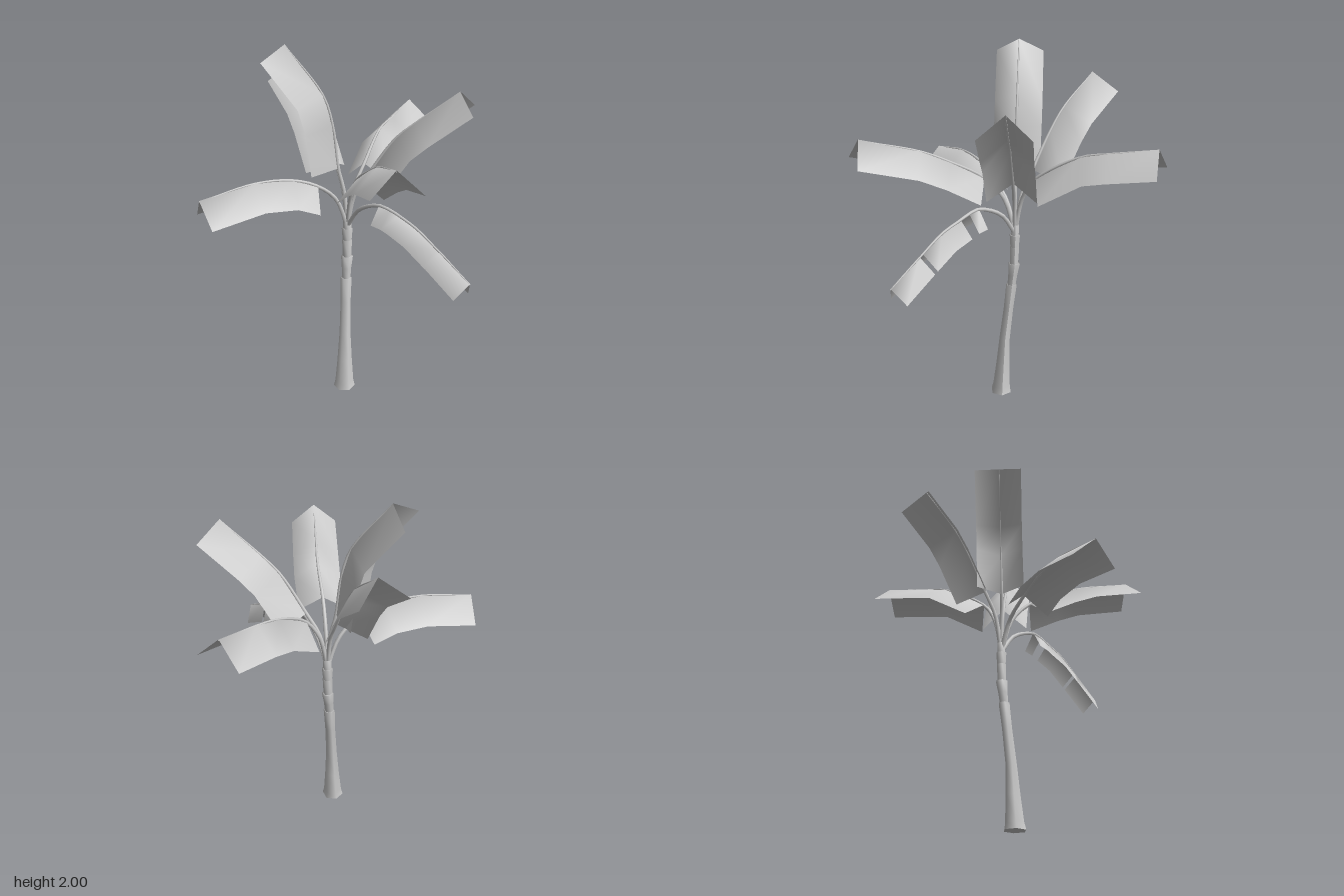
import * as THREE from 'three';

const grey = () => new THREE.MeshStandardMaterial({ color: 0xcccccc, side: THREE.DoubleSide });
const V = (p) => new THREE.Vector3(...p);

// Smooth surface through rows of points; skip(row, column) leaves a quad out
function grid(rows, skip = () => false) {
  const n = rows[0].length, index = [];
  for (let i = 0; i < rows.length - 1; i++) {
    for (let j = 0; j < n - 1; j++) {
      if (skip(i, j)) continue;
      const a = i * n + j, b = a + 1, c = a + n, d = c + 1;
      index.push(a, b, c, b, d, c);
    }
  }
  const g = new THREE.BufferGeometry().setFromPoints(rows.flat());
  g.setIndex(index);
  g.computeVertexNormals();
  return g;
}

// Leaning trunk centre line
const trunkLine = [[0.065, 0, 0.018], [0.068, 0.35, -0.002], [0.073, 0.69, -0.04], [0.078, 0.82, -0.054], [0.078, 1.1, -0.058]];
function trunkAt(y) {
  let k = 0;
  while (k < trunkLine.length - 2 && y > trunkLine[k + 1][1]) k++;
  const a = V(trunkLine[k]), b = V(trunkLine[k + 1]);
  return a.lerp(b, (y - a.y) / (b.y - a.y));
}

// Six-sided trunk sleeve from [height, radius] pairs
function sleeve(profile) {
  const rows = profile.map(([y, r]) => {
    const c = trunkAt(y), ring = [];
    for (let j = 0; j <= 6; j++) {
      const t = -j * Math.PI / 3;
      ring.push(new THREE.Vector3(c.x + r * Math.cos(t), y, c.z + r * Math.sin(t)));
    }
    return ring;
  });
  return grid(rows);
}

// Stem running into a midrib, thinning towards the tip
function stemGeometry(ridge) {
  const crown = trunkAt(1.0), base = ridge[0];
  const bend = new THREE.Vector3(
    THREE.MathUtils.lerp(crown.x, base.x, 0.38),
    THREE.MathUtils.lerp(crown.y, base.y, 0.62),
    THREE.MathUtils.lerp(crown.z, base.z, 0.38));
  const under = ridge.map((p) => p.clone().setY(p.y - 0.006));
  const path = new THREE.CatmullRomCurve3([crown, bend, ...under], false, 'centripetal');
  const segments = 20, sides = 6;
  const g = new THREE.TubeGeometry(path, segments, 1, sides);
  const pos = g.attributes.position, p = new THREE.Vector3();
  for (let i = 0; i <= segments; i++) {
    const c = path.getPointAt(i / segments), r = 0.013 - 0.010 * i / segments;
    for (let j = 0; j <= sides; j++) {
      const k = i * (sides + 1) + j;
      p.fromBufferAttribute(pos, k).sub(c).multiplyScalar(r).add(c);
      pos.setXYZ(k, p.x, p.y, p.z);
    }
  }
  return g;
}

// Blade folded along its ridge, each half falling away square to the ridge
function bladeGeometry(ridge, width, drop, torn) {
  const last = ridge.length - 1;
  const side = ridge[last].clone().sub(ridge[0]).cross(new THREE.Vector3(0, 1, 0)).normalize();
  const rows = ridge.map((m, i) => {
    const along = new THREE.Vector3();
    if (i > 0) along.add(m.clone().sub(ridge[i - 1]).normalize());
    if (i < last) along.add(ridge[i + 1].clone().sub(m).normalize());
    const normal = side.clone().cross(along).normalize();
    const edge = (s) => m.clone().addScaledVector(side, s * width).addScaledVector(normal, -drop);
    return [edge(-1), m.clone(), edge(1)];
  });
  return grid(rows, (i, j) => j === 0 && torn.includes(i));
}

const leaves = [
  { name: 'backRightLeaf', ridge: [[0.17, 1.34, -0.15], [0.265, 1.48, -0.37], [0.34, 1.515, -0.495], [0.46, 1.56, -0.72]] },
  { name: 'leftSideLeaf', ridge: [[0.19, 1.32, -0.035], [0.33, 1.53, -0.005], [0.43, 1.62, 0.015], [0.65, 1.79, 0.05]] },
  { name: 'frontLeaf', ridge: [[0.127, 1.34, 0.11], [0.185, 1.45, 0.29], [0.22, 1.52, 0.44], [0.285, 1.6, 0.74]] },
  { name: 'frontRightLeaf', ridge: [[-0.08, 1.28, 0.05], [-0.21, 1.335, 0.11], [-0.4, 1.35, 0.2], [-0.67, 1.3, 0.335]] },
  { name: 'backLeaf', ridge: [[0.015, 1.34, -0.155], [-0.055, 1.55, -0.265], [-0.105, 1.66, -0.34], [-0.23, 1.82, -0.515]] },
  { name: 'tallLeaf', ridge: [[0.03, 1.34, -0.06], [0, 1.575, -0.07], [-0.05, 1.74, -0.08], [-0.25, 2, -0.11]] },
  // Drooping narrow leaf with tears along its left half
  { name: 'tornLeaf', width: 0.058, drop: 0.105, torn: [1, 4],
    ridge: [[0.245, 1.21, 0.15], [0.3, 1.205, 0.205], [0.345, 1.19, 0.25], [0.43, 1.155, 0.345],
      [0.525, 1.085, 0.445], [0.54, 1.075, 0.46], [0.67, 0.97, 0.6]] },
];

export function createModel() {
  const root = new THREE.Group();
  root.name = 'palm';
  const add = (parent, name, geometry) => {
    const mesh = new THREE.Mesh(geometry, grey());
    mesh.name = name;
    parent.add(mesh);
  };

  // Trunk: overlapping sleeves that flare at their upper rims
  const trunk = new THREE.Group();
  trunk.name = 'trunk';
  root.add(trunk);
  [
    [[0, 0], [0, 0.062]],
    [[0, 0.062], [0.04, 0.053], [0.18, 0.042], [0.35, 0.032], [0.55, 0.029], [0.69, 0.032], [0.69, 0.022]],
    [[0.67, 0.024], [0.75, 0.027], [0.82, 0.034], [0.82, 0.02]],
    [[0.80, 0.024], [0.92, 0.028], [0.92, 0.02]],
    [[0.89, 0.023], [0.99, 0.031], [0.99, 0.02]],
    [[0.97, 0.023], [1.05, 0.024], [1.06, 0]],
  ].forEach((profile, i) => add(trunk, `trunkSleeve${i}`, sleeve(profile)));

  // Crown of folded leaves on bent stems
  for (const { name, ridge, width = 0.13, drop = 0.125, torn = [] } of leaves) {
    const group = new THREE.Group();
    group.name = name;
    const points = ridge.map(V);
    add(group, 'blade', bladeGeometry(points, width, drop, torn));
    add(group, 'stem', stemGeometry(points));
    root.add(group);
  }
  return root;
}
